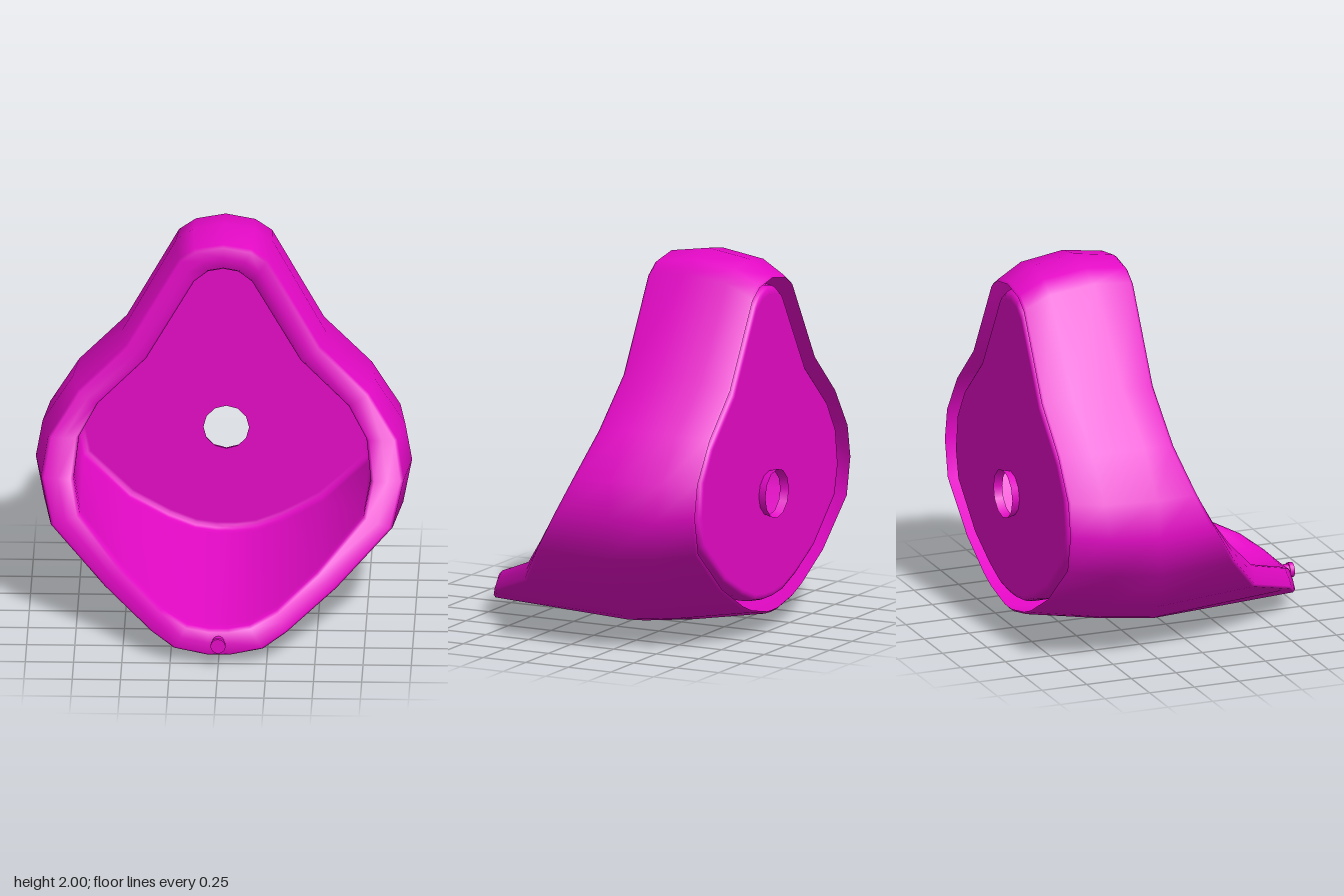
import * as THREE from 'three';

// Half outlines, top centre to bottom centre, as [x, y, z]
const belly = [
  [0, 2, -0.41], [0.16, 1.97, -0.41], [0.25, 1.91, -0.4], [0.53, 1.42, -0.36], [0.785, 1.17, -0.34],
  [0.94, 0.93, -0.33], [0.975, 0.735, -0.33], [0.93, 0.51, -0.3], [0.63, 0.24, -0.2], [0.37, 0.09, -0.1],
  [0.26, 0.045, -0.07], [0.07, 0.003, -0.07], [0, 0, -0.07],
];
const rimOuter = [
  [0, 1.965, -0.17], [0.15, 1.94, -0.17], [0.23, 1.885, -0.17], [0.505, 1.405, -0.17], [0.755, 1.155, -0.16],
  [0.905, 0.925, -0.09], [0.94, 0.735, 0], [0.885, 0.52, 0.13], [0.6, 0.27, 0.36], [0.35, 0.14, 0.67],
  [0.23, 0.075, 0.74], [0.06, 0.045, 0.755], [0, 0.045, 0.755],
];
const rimInner = [
  [0, 1.83, -0.17], [0.08, 1.815, -0.17], [0.15, 1.76, -0.17], [0.4, 1.33, -0.17], [0.65, 1.09, -0.14],
  [0.745, 0.93, -0.08], [0.77, 0.74, 0.03], [0.735, 0.585, 0.15], [0.5, 0.36, 0.38], [0.3, 0.25, 0.64],
  [0.16, 0.195, 0.72], [0.05, 0.18, 0.735], [0, 0.18, 0.735],
];
const PANEL_Z = -0.765, DRAIN_Y = 0.738;

const scaled = (ring, s, cy, z) => ring.map(p => [p[0] * s, cy + (p[1] - cy) * s, z(p)]);
const basin = (s, z) => scaled(rimInner, s, 0.9, () => z);
const rim = (t, dz) => rimOuter.map((p, i) => [
  p[0] + (rimInner[i][0] - p[0]) * t, p[1] + (rimInner[i][1] - p[1]) * t, p[2] + (rimInner[i][2] - p[2]) * t + dz]);
const mirrored = half => [...half, ...half.slice(1, -1).reverse().map(([x, y, z]) => [-x, y, z])];

// Skin a list of closed rings with smooth normals
function loft(rings) {
  const n = rings[0].length, index = [];
  for (let r = 0; r < rings.length - 1; r++) {
    for (let k = 0; k < n; k++) {
      const a = r * n + k, b = r * n + (k + 1) % n;
      index.push(a, a + n, b + n, a, b + n, b);
    }
  }
  const g = new THREE.BufferGeometry();
  g.setAttribute('position', new THREE.Float32BufferAttribute(rings.flat(2), 3));
  g.setIndex(index);
  g.computeVertexNormals();
  return g;
}

export function createModel() {
  const group = new THREE.Group();
  const magenta = new THREE.MeshStandardMaterial({ color: 0xe409c6, side: THREE.DoubleSide });
  magenta.name = 'magenta';
  const add = (name, geometry) => {
    const mesh = new THREE.Mesh(geometry, magenta);
    mesh.name = name;
    group.add(mesh);
    return mesh;
  };

  // Outer wall, rim and basin wall with a rounded floor corner, open at the back
  const panelEdge = basin(0.955, PANEL_Z);
  add('body', loft([
    scaled(belly, 0.88, 1, () => -0.783),
    scaled(belly, 0.893, 1, () => -0.772),
    scaled(belly, 0.965, 1, p => -0.78 + (p[2] + 0.78) * (0.36 + 0.24 * Math.max(0, 1 - p[1]))),
    belly,
    rim(0, -0.02),
    rim(0.1, -0.003),
    rim(0.5, 0.003),
    rim(0.9, 0),
    rim(1, -0.025),
    rim(1.01, -0.08),
    basin(1.01, PANEL_Z + 0.06),
    basin(1.005, PANEL_Z + 0.03),
    basin(0.995, PANEL_Z + 0.01),
    basin(0.975, PANEL_Z),
    panelEdge,
  ].map(mirrored)));

  // Flat back panel with the drain hole
  const panel = new THREE.Shape(mirrored(panelEdge).map(([x, y]) => new THREE.Vector2(x, y)));
  const hole = [];
  for (let i = 0; i < 12; i++) {
    const a = i * Math.PI / 6;
    hole.push(new THREE.Vector2(0.118 * Math.sin(a), DRAIN_Y + 0.118 * Math.cos(a)));
  }
  panel.holes.push(new THREE.Path(hole));
  add('backPanel', new THREE.ShapeGeometry(panel)).position.z = PANEL_Z;

  // Short flared drain collar behind the hole
  const drain = add('drainCollar', new THREE.CylinderGeometry(0.118, 0.13, 0.045, 12, 1, true));
  drain.rotation.x = Math.PI / 2;
  drain.position.set(0, DRAIN_Y, PANEL_Z - 0.0225);

  // Small nozzle on the front lip: neck and wider cap
  for (const [name, radius, length, z] of [['nozzleNeck', 0.032, 0.09, 0.745], ['nozzleCap', 0.039, 0.025, 0.7975]]) {
    const part = add(name, new THREE.CylinderGeometry(radius, radius, length, 16));
    part.rotation.x = Math.PI / 2;
    part.position.set(0, 0.117, z);
  }
  return group;
}
